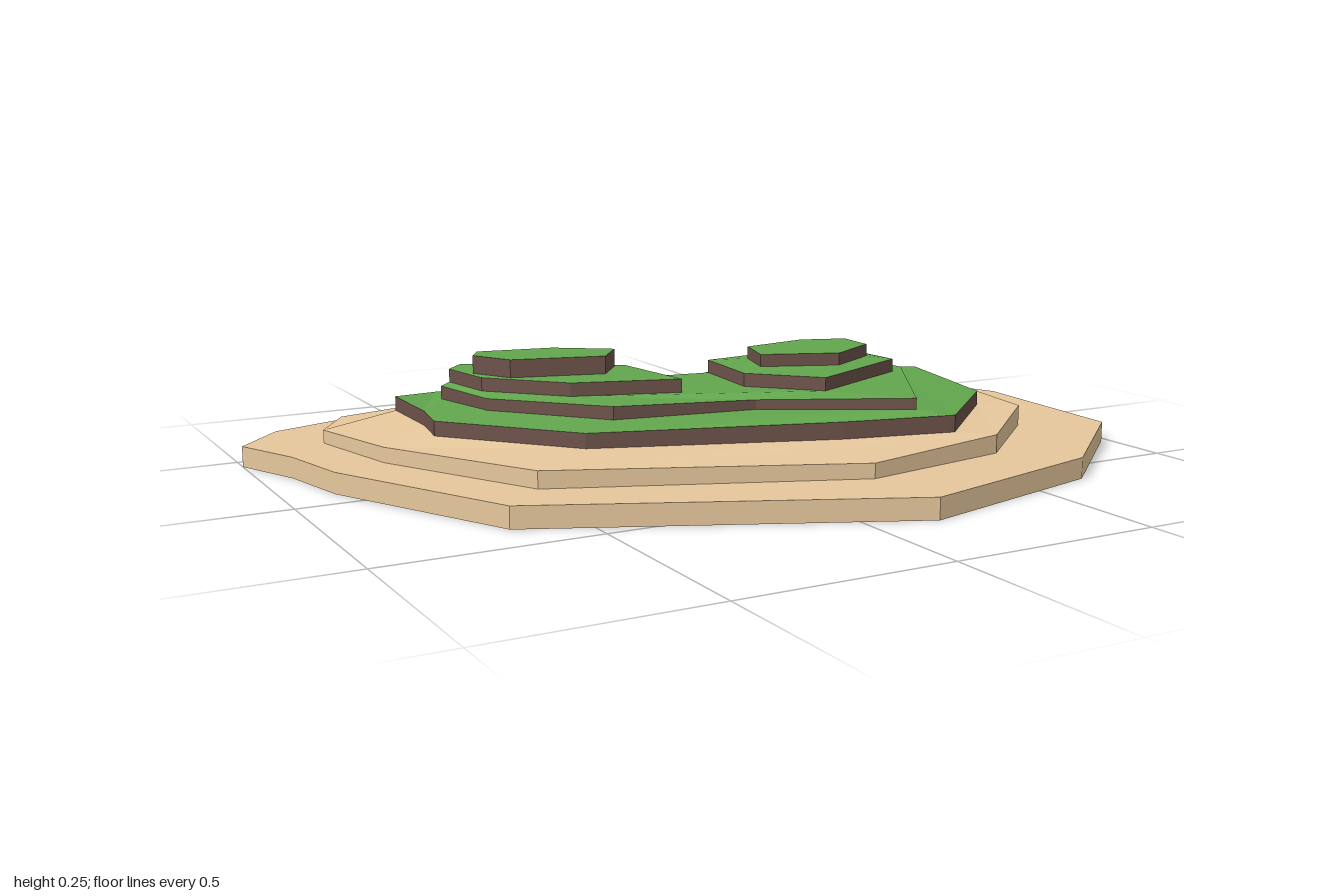
import * as THREE from 'three';

const paint = (color) => new THREE.MeshStandardMaterial({ color, flatShading: true, side: THREE.DoubleSide });

// Each terrace: default base and top heights, outline of [x, z, top?, base?], and the terraces standing on it
const leftPeak = {
  name: 'leftPeak', base: 0.212, top: 0.255, outline: [
    [-0.49, -0.25], [-0.46, -0.3], [-0.275, -0.265], [-0.15, -0.175], [-0.215, -0.09], [-0.435, -0.15]],
};
const leftKnoll = {
  name: 'leftKnoll', base: 0.178, top: 0.21, on: [leftPeak], outline: [
    [-0.515, -0.345], [-0.465, -0.4], [-0.265, -0.3], [-0.115, -0.185], [-0.083, 0.05], [-0.335, -0.03], [-0.49, -0.195]],
};
const rightPeak = {
  name: 'rightPeak', base: 0.215, top: 0.245, outline: [
    [0.185, -0.1], [0.36, -0.13], [0.47, -0.09], [0.467, 0.013], [0.33, 0.094], [0.15, 0.02]],
};
const rightKnoll = {
  name: 'rightKnoll', base: 0.178, top: 0.21, on: [rightPeak], outline: [
    [0.1, -0.152], [0.355, -0.184], [0.5, -0.11], [0.515, 0.06], [0.222, 0.2], [0.083, 0.056]],
};
const upperMeadow = {
  name: 'upperMeadow', base: 0.142, top: 0.173, on: [leftKnoll, rightKnoll], outline: [
    [-0.537, -0.345, 0.17, 0.138], [-0.45, -0.435, 0.172, 0.132], [-0.115, -0.302], [0.003, -0.168, 0.168],
    [0.36, -0.26], [0.547, -0.163, 0.178], [0.574, 0.013, 0.178], [0.366, 0.366, 0.175, 0.148],
    [0.056, 0.157, 0.165], [-0.29, 0.104], [-0.5, -0.14, 0.17]],
};
const lowerMeadow = {
  name: 'lowerMeadow', base: 0.1, top: 0.135, on: [upperMeadow], outline: [
    [-0.62, -0.445], [-0.494, -0.505, 0.125, 0.1], [-0.21, -0.414], [0.056, -0.27], [0.446, -0.34],
    [0.755, -0.168], [0.68, 0.195], [0.43, 0.43, 0.14], [0.163, 0.37, 0.14], [-0.393, 0.174],
    [-0.64, -0.115], [-0.62, -0.237]],
};
const sandTerrace = {
  name: 'sandTerrace', base: 0.05, top: 0.1, sandy: true, on: [lowerMeadow], outline: [
    [-0.82, -0.387, 0.082], [-0.74, -0.505, 0.085], [-0.35, -0.61, 0.085], [0.083, -0.473], [0.6, -0.44],
    [0.825, -0.163], [0.766, 0.254], [0.515, 0.478, 0.094], [0.125, 0.547, 0.085], [-0.553, 0.275, 0.09],
    [-0.76, -0.12, 0.086]],
};
const beach = {
  name: 'beach', base: 0, top: 0.05, sandy: true, on: [sandTerrace], outline: [
    [-1, -0.445], [-0.885, -0.575], [-0.457, -0.725], [0.152, -0.75], [0.755, -0.68], [1, -0.135],
    [0.975, 0.33], [0.66, 0.61], [0.152, 0.745], [-0.66, 0.375], [-0.885, -0.083], [-0.927, -0.275]],
};

const ring = (t, edge) => t.outline.map(([x, z, top = t.top, base = t.base]) =>
  new THREE.Vector3(x, edge === 'top' ? top : base, z));

function fromTriangles(points) {
  const geometry = new THREE.BufferGeometry().setFromPoints(points);
  geometry.computeVertexNormals();
  return geometry;
}

// Vertical band between the base and top outlines
function wallGeometry(t) {
  const low = ring(t, 'base'), high = ring(t, 'top'), points = [];
  low.forEach((a, i) => {
    const j = (i + 1) % low.length;
    points.push(a, high[j], low[j], a, high[i], high[j]);
  });
  return fromTriangles(points);
}

// Ground surface, open where the next terraces rise out of it
function groundGeometry(t) {
  const rings = [ring(t, 'top'), ...(t.on ?? []).map((child) => ring(child, 'base'))];
  const flat = rings.map((r) => r.map((p) => new THREE.Vector2(p.x, -p.z)));
  const all = rings.flat(), points = [];
  for (const [a, b, c] of THREE.ShapeUtils.triangulateShape(flat[0], flat.slice(1))) {
    const [p, q, r] = [all[a], all[b], all[c]];
    const up = q.clone().sub(p).cross(r.clone().sub(p)).y > 0;
    points.push(p, ...(up ? [q, r] : [r, q]));
  }
  return fromTriangles(points);
}

export function createModel() {
  const sand = paint(0xe6c79c), grass = paint(0x62a64d), soil = paint(0x6d524a);
  const island = new THREE.Group();
  island.name = 'island';

  for (const t of [beach, sandTerrace, lowerMeadow, upperMeadow, leftKnoll, leftPeak, rightKnoll, rightPeak]) {
    const terrace = new THREE.Group();
    terrace.name = t.name;
    const wall = new THREE.Mesh(wallGeometry(t), t.sandy ? sand : soil);
    wall.name = t.name + 'Wall';
    const ground = new THREE.Mesh(groundGeometry(t), t.sandy ? sand : grass);
    ground.name = t.name + 'Ground';
    terrace.add(wall, ground);
    island.add(terrace);
  }
  return island;
}
